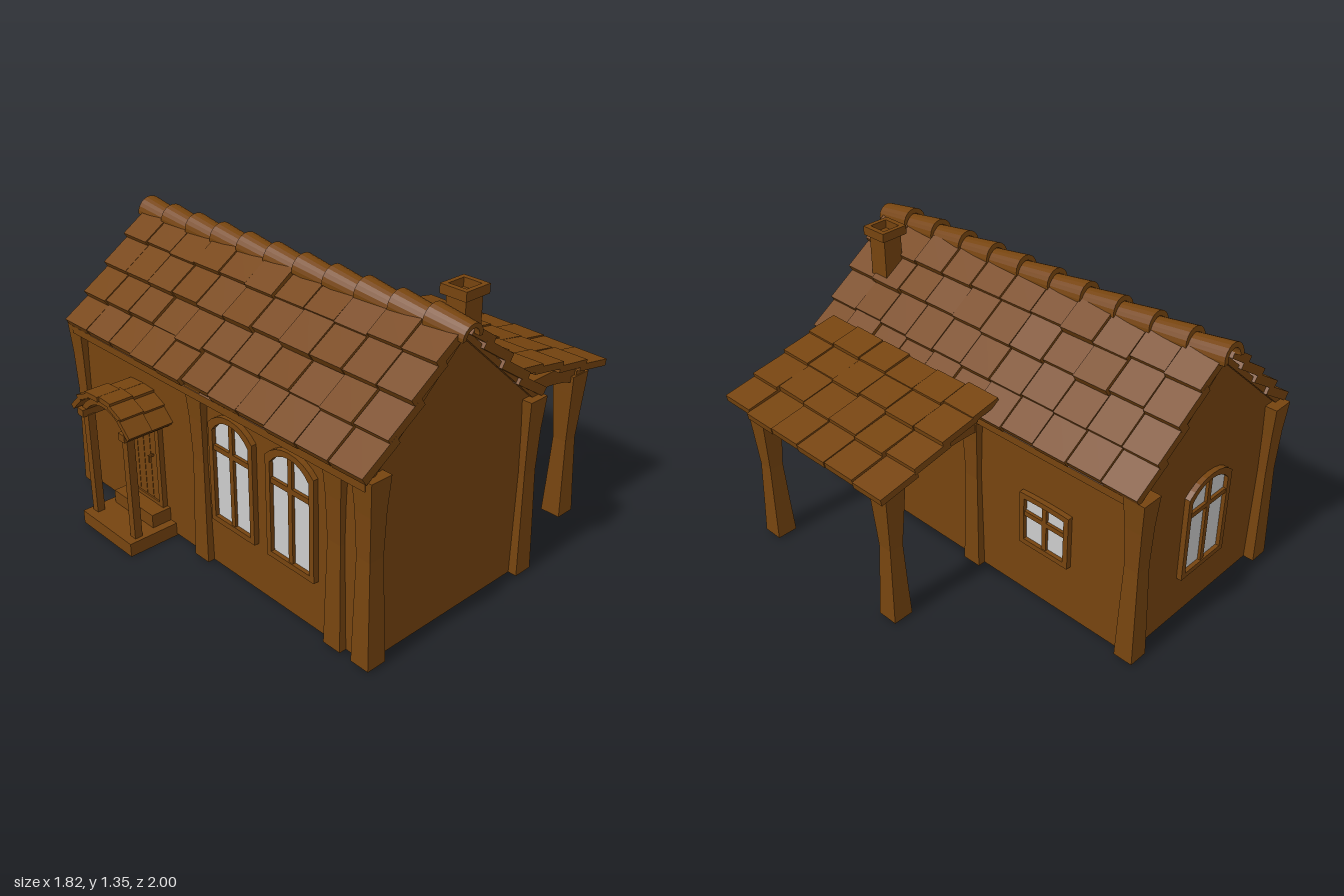
import * as THREE from 'three';
import { mergeGeometries } from 'three/addons/utils/BufferGeometryUtils.js';

const wood = new THREE.MeshStandardMaterial({ color: 0x76440f, flatShading: true });
const glass = new THREE.MeshStandardMaterial({ color: 0xcccccc, side: THREE.DoubleSide });
const RIDGE_X = -0.2;

// small seeded wobble, -1..1
let seed = 7;
const wobble = () => (seed = (seed * 16807) % 2147483647) / 1073741823.5 - 1;

function add(parent, name, geo, x = 0, y = 0, z = 0, mat = wood) {
  const m = new THREE.Mesh(geo, mat);
  m.name = name;
  m.position.set(x, y, z);
  parent.add(m);
  return m;
}
const box = (w, h, d) => new THREE.BoxGeometry(w, h, d);
const polygon = (pts) => new THREE.Shape(pts.map((p) => new THREE.Vector2(...p)));
const extrude = (shape, depth, curveSegments = 8) =>
  new THREE.ExtrudeGeometry(shape, { depth, bevelEnabled: false, curveSegments });

// square post with a waist: sections are [half width, height]
function postGeometry(sections) {
  const r = Math.SQRT2;
  const pts = [[0, sections[0][1]], ...sections, [0, sections.at(-1)[1]]];
  const geo = new THREE.LatheGeometry(pts.map(([w, y]) => new THREE.Vector2(w * r, y)), 4);
  return geo.rotateY(Math.PI / 4);
}

// rows of overlapping tiles falling toward +x; rows are [x, y] of each lower top edge
function tilePatch(rows, pitch, length, thick, z0, z1, columns) {
  const step = (z1 - z0) / columns;
  const geos = [];
  rows.forEach(([x, y, len = length]) => {
    for (let i = 0; i < columns; i++) {
      const g = box(len, thick, step - 0.004);
      g.translate(-len / 2, -thick / 2, 0);
      g.rotateX(wobble() * 0.02);
      g.rotateZ(-pitch + wobble() * 0.015);
      g.translate(x + wobble() * 0.01, y + wobble() * 0.005, z0 + (i + 0.5) * step);
      geos.push(g);
    }
  });
  return mergeGeometries(geos);
}

// outline with an arched head, standing on y = 0
function archOutline(w, h, rise, inset, Type = THREE.Shape) {
  const a = w / 2 - inset, s = new Type();
  s.moveTo(-a, inset);
  s.lineTo(a, inset);
  s.lineTo(a, h - rise - inset);
  s.quadraticCurveTo(a * 0.6, h - inset, 0, h - inset);
  s.quadraticCurveTo(-a * 0.6, h - inset, -a, h - rise - inset);
  s.closePath();
  return s;
}

// window facing +z, standing on y = 0
function makeWindow(name, w, h, rise, bar) {
  const g = new THREE.Group();
  g.name = name;
  const frame = archOutline(w, h, rise, 0);
  frame.holes.push(archOutline(w, h, rise, 0.026, THREE.Path));
  add(g, 'windowFrame', extrude(frame, 0.035, 4), 0, 0, -0.01);
  add(g, 'windowPane', new THREE.ShapeGeometry(archOutline(w, h, rise, 0.02), 4), 0, 0, 0.006, glass);
  add(g, 'windowMullion', box(0.024, h - 0.03, 0.02), 0, h / 2, 0.01);
  add(g, 'windowTransom', box(w - 0.03, 0.024, 0.02), 0, bar, 0.01);
  return g;
}

function place(parent, obj, x, y, z, turn) {
  obj.position.set(x, y, z);
  obj.rotation.y = turn;
  parent.add(obj);
  return obj;
}

function makePorch() {
  const g = new THREE.Group();
  g.name = 'porch';
  add(g, 'porchBase', box(0.27, 0.065, 0.38), -0.775, 0.0325, 0);
  add(g, 'porchStep', box(0.11, 0.065, 0.3), -0.705, 0.0975, 0);
  for (const s of [-1, 1]) {
    add(g, 'porchPost', box(0.038, 0.51, 0.038), -0.85, 0.315, s * 0.15);
    add(g, 'porchBeam', box(0.23, 0.035, 0.045), -0.775, 0.582, s * 0.16);
  }
  // door planks, frame and handle
  for (let i = 0; i < 4; i++)
    add(g, 'doorPlank', box(0.02, 0.47, 0.047), -0.667, 0.365, (i - 1.5) * 0.05);
  const frame = archOutline(0.26, 0.52, 0.05, 0);
  frame.holes.push(archOutline(0.26, 0.52, 0.05, 0.028, THREE.Path));
  add(g, 'doorFrame', extrude(frame, 0.03, 4), -0.655, 0.12, 0).rotation.y = -Math.PI / 2;
  add(g, 'doorHandleStem', box(0.03, 0.01, 0.01), -0.685, 0.38, 0.07);
  add(g, 'doorHandle', box(0.01, 0.035, 0.012), -0.698, 0.367, 0.07);

  // arched roof: bow below, tiles bent around it
  const R = 0.235, cy = 0.475, half = 1.05;
  const bow = new THREE.Shape();
  bow.absarc(0, 0, R - 0.022, Math.PI / 2 - half, Math.PI / 2 + half, false);
  bow.absarc(0, 0, R - 0.05, Math.PI / 2 + half, Math.PI / 2 - half, true);
  add(g, 'porchRoofBow', extrude(bow, 0.21, 10), -0.66, cy, 0).rotation.y = -Math.PI / 2;
  const tiles = [], n = 6;
  for (let c = 0; c < 2; c++) {
    for (let i = 0; i < n; i++) {
      const a = ((i + 0.5) / n * 2 - 1) * half;
      const t = box(0.118, 0.024, 0.096);
      t.rotateX(-Math.sign(a) * 0.12);
      t.translate(0, R - c * 0.01, 0);
      t.rotateX(a);
      t.translate(-0.835 + c * 0.113 + wobble() * 0.008, cy, 0);
      tiles.push(t);
    }
  }
  add(g, 'porchRoofTiles', mergeGeometries(tiles));
  return g;
}

function makeCanopy() {
  const g = new THREE.Group();
  g.name = 'sideCanopy';
  const post = postGeometry([[0.05, 0.01], [0.043, 0.18], [0.035, 0.4], [0.05, 0.65], [0.055, 0.74]]);
  for (const z of [0.78, -0.05]) {
    add(g, 'canopyPost', post, 0.77, 0, z);
    // cross beam bowed on its underside
    const s = new THREE.Shape();
    s.moveTo(0.24, 0.81);
    s.lineTo(0.24, 0.755);
    s.quadraticCurveTo(0.55, 0.77, 0.72, 0.71);
    s.lineTo(0.82, 0.71);
    s.lineTo(0.82, 0.76);
    s.lineTo(0.7, 0.79);
    s.lineTo(0.58, 0.81);
    s.closePath();
    add(g, 'canopyCrossBeam', extrude(s, 0.08), 0, 0, z - 0.04);
  }
  // front beam between the posts, arched below
  const s = new THREE.Shape();
  s.moveTo(-0.1, 0.76);
  s.lineTo(-0.1, 0.65);
  s.quadraticCurveTo(0.365, 0.7, 0.83, 0.65);
  s.lineTo(0.83, 0.76);
  s.closePath();
  add(g, 'canopyFrontBeam', extrude(s, 0.06), 0.8, 0, 0).rotation.y = -Math.PI / 2;
  const rows = [[0.9, 0.785], [0.735, 0.835], [0.57, 0.88], [0.41, 0.92, 0.15]];
  add(g, 'canopyTiles', tilePatch(rows, 0.17, 0.2, 0.032, -0.18, 0.88, 6));
  return g;
}

function makeRoof() {
  const g = new THREE.Group();
  g.name = 'mainRoof';
  const deck = polygon([[0, 1.25], [0.5, 0.805], [0.5, 0.84], [0, 1.285], [-0.5, 0.84], [-0.5, 0.805]]);
  add(g, 'roofDeck', extrude(deck, 1.91), RIDGE_X, 0, -0.955);
  const rows = [[0.53, 0.88], [0.41, 0.985], [0.29, 1.1], [0.17, 1.207, 0.15]];
  for (const turn of [0, Math.PI])
    add(g, 'roofTiles', tilePatch(rows, 0.58, 0.2, 0.04, -0.972, 0.972, 11), RIDGE_X).rotation.y = turn;
  // tapered half-round ridge caps
  const ring = new THREE.Shape();
  ring.absarc(0, 0, 0.066, -0.15, Math.PI + 0.15, false);
  ring.absarc(0, 0, 0.042, Math.PI + 0.15, -0.15, true);
  const cap = extrude(ring, 0.19, 6);
  const p = cap.attributes.position;
  for (let i = 0; i < p.count; i++) {
    const k = 1 - 0.8 * p.getZ(i);
    p.setXY(i, p.getX(i) * k, p.getY(i) * k);
  }
  cap.rotateX(0.1).computeVertexNormals();
  for (let i = 0; i < 11; i++) add(g, 'ridgeCap', cap, RIDGE_X, 1.283, -0.995 + i * 0.18);
  // chimney with a hollow top
  add(g, 'chimneyStack', box(0.1, 0.25, 0.1), 0.018, 1.185, 0.765);
  const rim = polygon([[-0.07, -0.067], [0.07, -0.067], [0.07, 0.067], [-0.07, 0.067]]);
  rim.holes.push(polygon([[-0.045, -0.045], [-0.045, 0.045], [0.045, 0.045], [0.045, -0.045]]));
  add(g, 'chimneyCap', extrude(rim, 0.042), 0.018, 1.307, 0.765).rotation.x = -Math.PI / 2;
  return g;
}

export function createModel() {
  const house = new THREE.Group();
  house.name = 'cottage';

  // walls and floor slab
  const gable = polygon([[-0.66, 0.01], [0.265, 0.01], [0.265, 0.84], [RIDGE_X, 1.26], [-0.66, 0.84]]);
  add(house, 'walls', extrude(gable, 1.88), 0, 0, -0.94);
  add(house, 'floorSlab', box(0.86, 0.02, 1.86), RIDGE_X, 0.015, 0);

  // corner and wall posts
  const post = postGeometry([[0.047, 0.01], [0.043, 0.2], [0.036, 0.5], [0.042, 0.7], [0.052, 0.85]]);
  for (const x of [-0.647, 0.256])
    for (const z of [-0.945, -0.05, 0.78, 0.935]) add(house, 'wallPost', post, x, 0, z);

  // windows
  const left = -Math.PI / 2;
  for (const z of [0.17, 0.53])
    place(house, makeWindow('leftWindow', 0.28, 0.53, 0.06, 0.36), -0.66, 0.25, z, left);
  place(house, makeWindow('backWindow', 0.3, 0.49, 0.06, 0.33), RIDGE_X, 0.23, -0.94, Math.PI);
  const small = makeWindow('rightWindow', 0.275, 0.275, 0.005, 0.165);
  place(house, small, 0.265, 0.295, -0.475, Math.PI / 2);

  house.add(makeRoof(), makeCanopy());
  place(house, makePorch(), 0, 0, -0.47, 0);
  return house;
}
